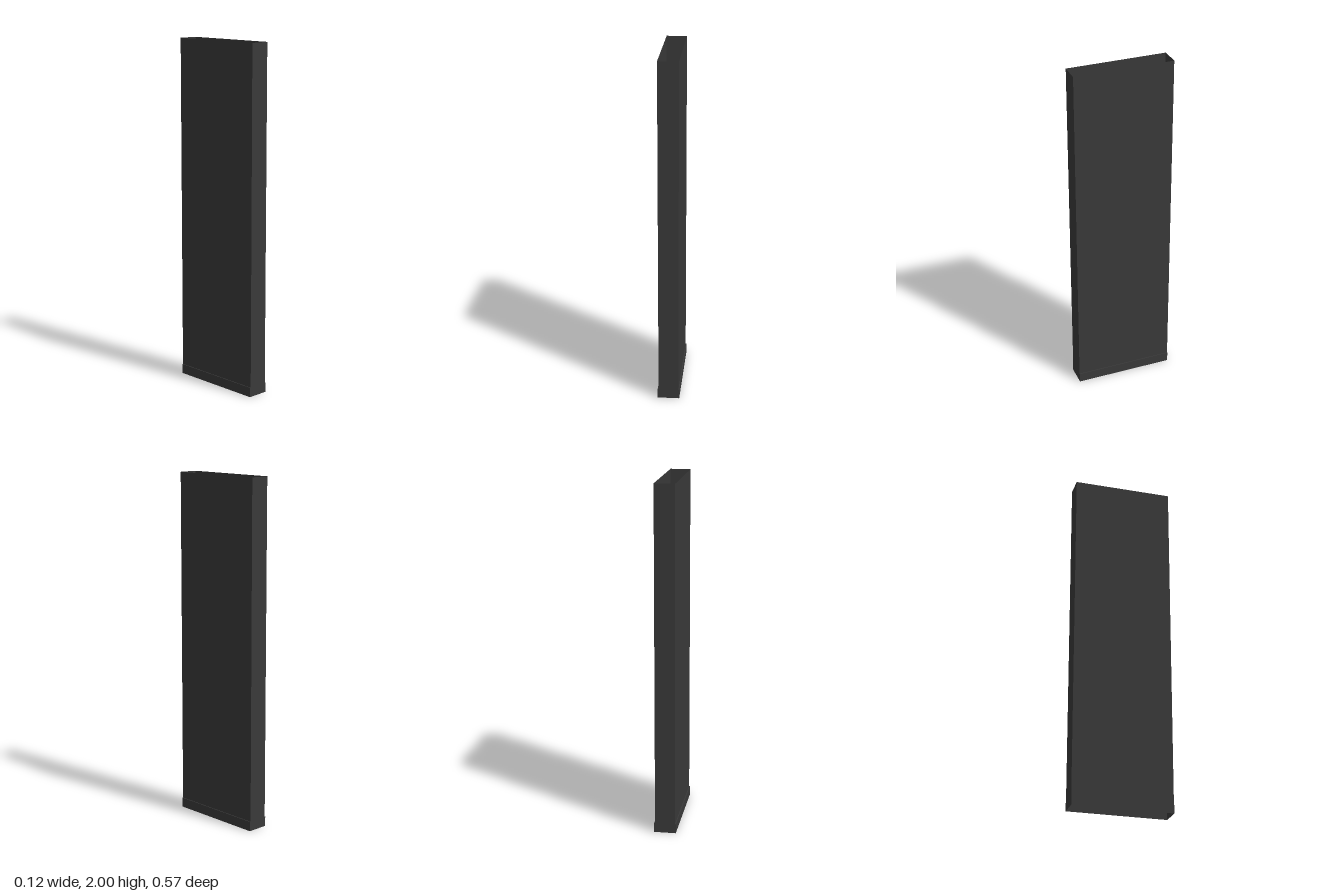
import * as THREE from 'three';

const HEIGHT = 2;
const HALF_DEPTH = 0.286;
const TUBE_X = 0.0575; // half width of the tall sleeve
const COLLAR_X = 0.0625; // half width of the wider foot
const COLLAR_H = 0.056;

export function createModel() {
  const model = new THREE.Group();
  model.name = 'openSleeve';
  const material = new THREE.MeshStandardMaterial({ color: 0x3a3a3a, side: THREE.DoubleSide });

  const add = (name, geometry, x, y, z) => {
    const mesh = new THREE.Mesh(geometry, material);
    mesh.name = name;
    mesh.position.set(x, y, z);
    model.add(mesh);
  };

  // Long sides: tall wall, narrow ledge and foot collar
  const wallH = HEIGHT - COLLAR_H;
  for (const [side, s] of [['left', 1], ['right', -1]]) {
    const wall = new THREE.PlaneGeometry(2 * HALF_DEPTH, wallH).rotateY(s * Math.PI / 2);
    add(side + 'Wall', wall, s * TUBE_X, COLLAR_H + wallH / 2, 0);

    const ledge = new THREE.PlaneGeometry(COLLAR_X - TUBE_X, 2 * HALF_DEPTH).rotateX(-Math.PI / 2);
    add(side + 'Ledge', ledge, s * (TUBE_X + COLLAR_X) / 2, COLLAR_H, 0);

    const collar = new THREE.PlaneGeometry(2 * HALF_DEPTH, COLLAR_H).rotateY(s * Math.PI / 2);
    add(side + 'Collar', collar, s * COLLAR_X, COLLAR_H / 2, 0);
  }

  // Narrow ends: stepped outline; top and bottom stay open
  const outline = new THREE.Shape([
    [-COLLAR_X, 0], [COLLAR_X, 0], [COLLAR_X, COLLAR_H], [TUBE_X, COLLAR_H],
    [TUBE_X, HEIGHT], [-TUBE_X, HEIGHT], [-TUBE_X, COLLAR_H], [-COLLAR_X, COLLAR_H],
  ].map(([x, y]) => new THREE.Vector2(x, y)));
  add('frontEnd', new THREE.ShapeGeometry(outline), 0, 0, HALF_DEPTH);
  add('backEnd', new THREE.ShapeGeometry(outline).rotateY(Math.PI), 0, 0, -HALF_DEPTH);

  return model;
}
